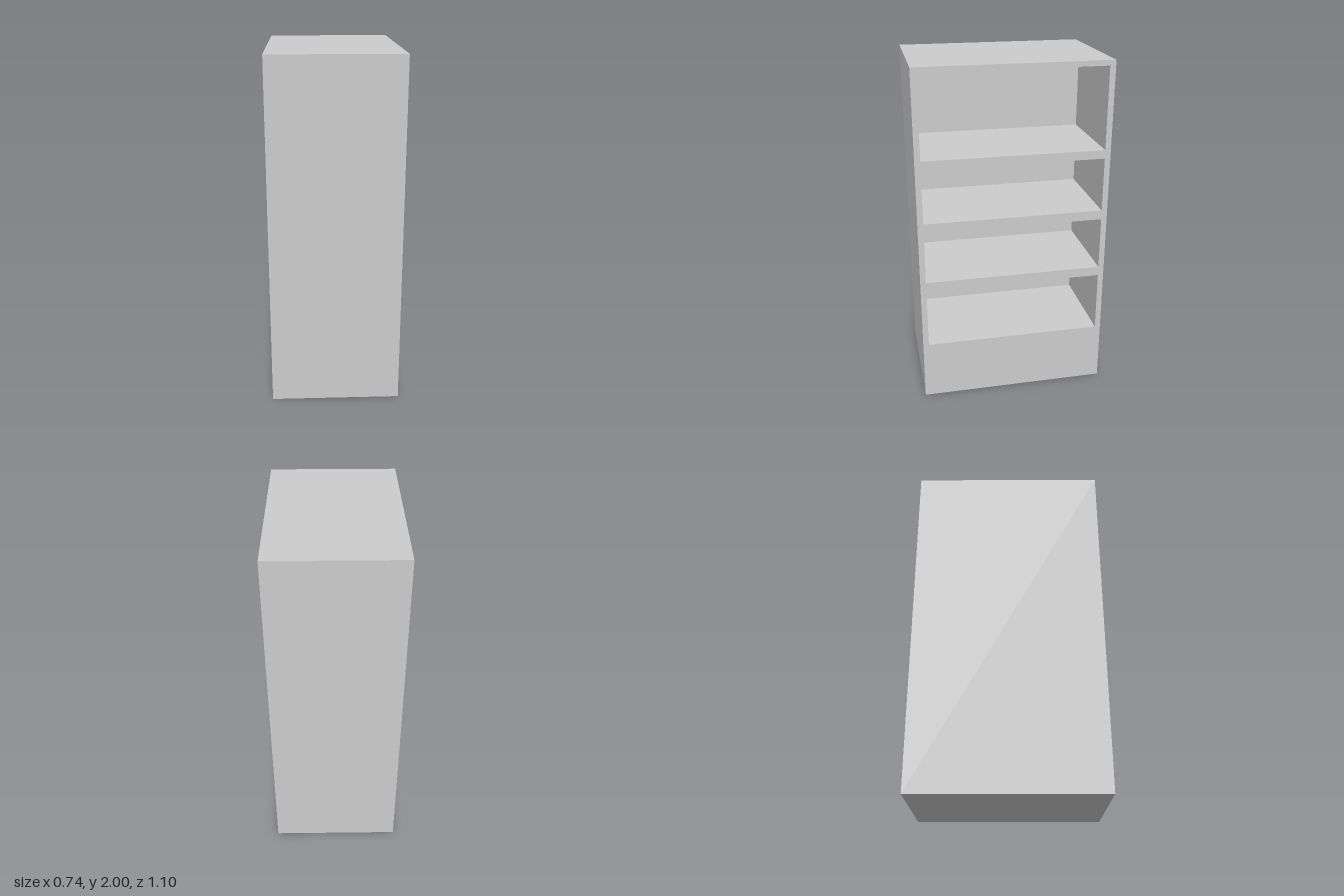
import * as THREE from 'three';

const W = 0.74, H = 2, D = 1.1;   // overall x, y, z
const RECESS = 0.555;             // depth of the compartments
const HALF_OPENING = 0.517;       // half length of each opening along z
const COMPARTMENTS = [[0.355, 0.715], [0.77, 1.08], [1.135, 1.45], [1.5, 1.97]]; // floor, ceiling

function rectangle(target, x0, y0, x1, y1) {
  target.moveTo(x0, y0);
  target.lineTo(x1, y0);
  target.lineTo(x1, y1);
  target.lineTo(x0, y1);
  target.closePath();
  return target;
}

export function createModel() {
  const group = new THREE.Group();
  group.name = 'shelfCabinet';
  const material = new THREE.MeshStandardMaterial({ color: 0xcccccc });

  // Carcass: side outline with one hole per compartment, opening towards +x
  const outline = rectangle(new THREE.Shape(), -D / 2, 0, D / 2, H);
  for (const [floor, ceiling] of COMPARTMENTS) {
    outline.holes.push(rectangle(new THREE.Path(), -HALF_OPENING, floor, HALF_OPENING, ceiling));
  }
  const carcassGeometry = new THREE.ExtrudeGeometry(outline, { depth: RECESS, bevelEnabled: false });
  carcassGeometry.rotateY(Math.PI / 2).translate(W / 2 - RECESS, 0, 0);
  const carcass = new THREE.Mesh(carcassGeometry, material);
  carcass.name = 'carcassWithShelves';
  group.add(carcass);

  // Solid block closing the compartments behind
  const thickness = W - RECESS;
  const back = new THREE.Mesh(new THREE.BoxGeometry(thickness, H, D), material);
  back.position.set(-W / 2 + thickness / 2, H / 2, 0);
  back.name = 'backBlock';
  group.add(back);

  return group;
}
